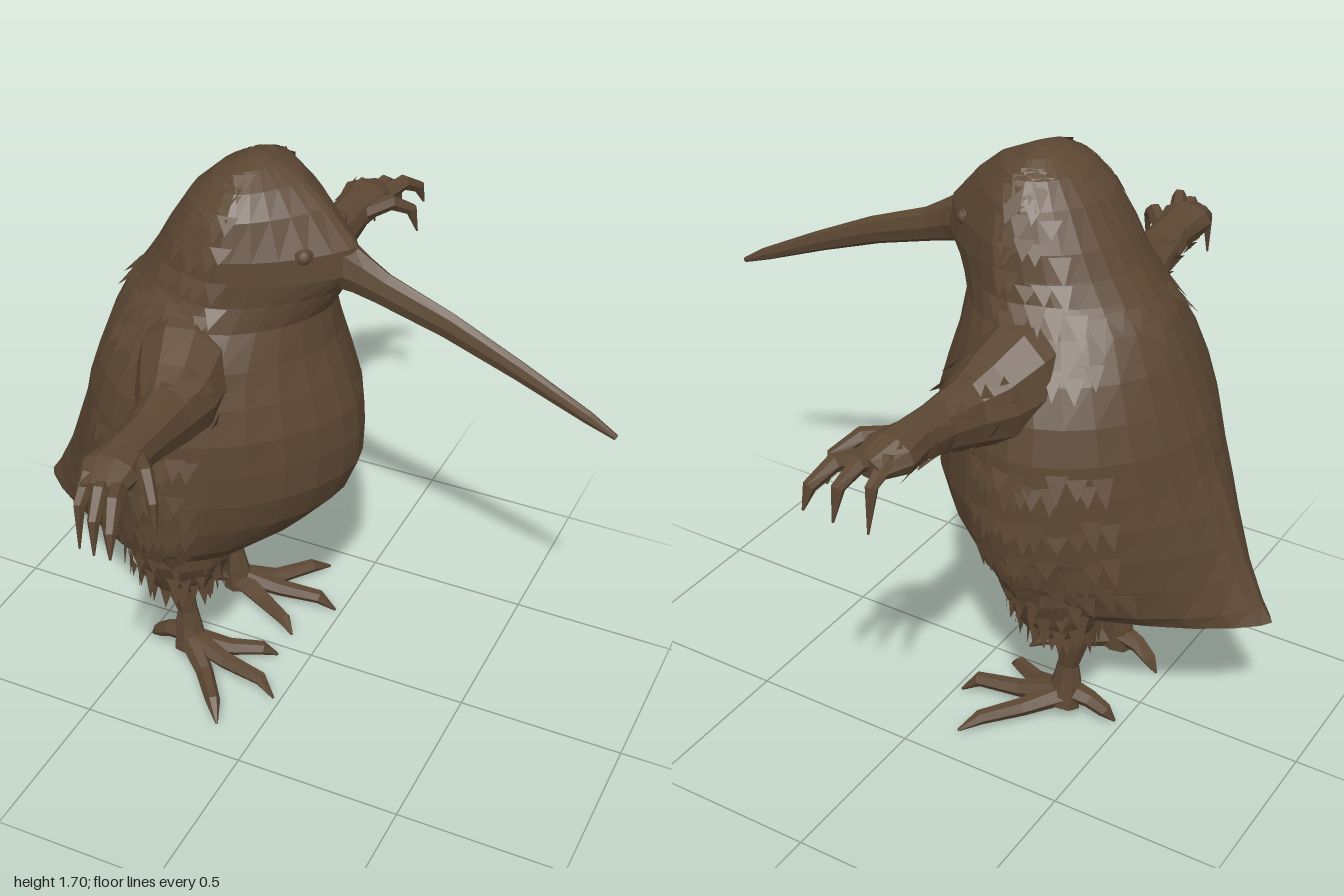
import * as THREE from 'three';

const V = (x, y, z) => new THREE.Vector3(x, y, z);
const brown = new THREE.MeshStandardMaterial({ color: 0x5c4733, side: THREE.DoubleSide });
brown.name = 'brown plumage';

let seed = 7;
const rand = () => (seed = (seed * 16807) % 2147483647) / 2147483647;

// Faceted mesh from a list of triangle corners
function facetMesh(name, corners) {
  const g = new THREE.BufferGeometry().setFromPoints(corners);
  g.computeVertexNormals();
  const m = new THREE.Mesh(g, brown);
  m.name = name;
  return m;
}

// Skin over a stack of rings, closed at both ends
function loft(name, rings) {
  const out = [], n = rings[0].length;
  const middle = r => r.reduce((a, p) => a.add(p), V(0, 0, 0)).divideScalar(n);
  const first = rings[0], last = rings[rings.length - 1];
  const c0 = middle(first), c1 = middle(last);
  for (let j = 0; j < n; j++) {
    const k = (j + 1) % n;
    for (let i = 0; i + 1 < rings.length; i++) {
      const a = rings[i][j], b = rings[i][k], c = rings[i + 1][k], d = rings[i + 1][j];
      out.push(a, d, b, b, d, c);
    }
    out.push(c0, first[j], first[k], c1, last[k], last[j]);
  }
  return facetMesh(name, out);
}

// Tapered limb; each station is [x, y, z, side radius, up radius]
function limb(name, stations, up = V(0, 1, 0), sides = 8) {
  const pts = stations.map(s => V(s[0], s[1], s[2]));
  return loft(name, stations.map((s, i) => {
    const w = pts[Math.min(i + 1, pts.length - 1)].clone().sub(pts[Math.max(i - 1, 0)]).normalize();
    const u = w.clone().cross(up).normalize(), v = u.clone().cross(w);
    return Array.from({ length: sides }, (_, j) => {
      const a = j / sides * Math.PI * 2;
      return pts[i].clone().addScaledVector(u, Math.cos(a) * s[3]).addScaledVector(v, Math.sin(a) * s[4]);
    });
  }));
}

// Body levels: y, back x, front x, half width, x of the widest point
const LEVELS = [
  [0.43, -0.38, -0.26, 0.06, -0.31], [0.445, -0.52, -0.20, 0.21, -0.32],
  [0.457, -0.89, -0.16, 0.28, -0.32], [0.50, -0.86, -0.11, 0.335, -0.32],
  [0.60, -0.81, 0.015, 0.395, -0.30], [0.70, -0.77, 0.105, 0.42, -0.30],
  [0.80, -0.73, 0.145, 0.43, -0.30], [0.90, -0.69, 0.15, 0.425, -0.30],
  [1.00, -0.66, 0.14, 0.415, -0.29], [1.10, -0.62, 0.11, 0.39, -0.28],
  [1.20, -0.58, 0.075, 0.35, -0.25], [1.30, -0.53, 0.06, 0.285, -0.22],
  [1.37, -0.48, 0.10, 0.255, -0.19], [1.43, -0.44, 0.15, 0.245, -0.17],
  [1.50, -0.40, 0.135, 0.235, -0.16], [1.60, -0.335, 0.05, 0.20, -0.15],
  [1.66, -0.27, -0.02, 0.15, -0.15], [1.695, -0.21, -0.095, 0.085, -0.15],
  [1.708, -0.17, -0.13, 0.025, -0.15],
];

// Point on the body: pointed towards the tail, rounded chest, narrow face
function bodyPoint(y, a) {
  let i = 0;
  while (i < LEVELS.length - 2 && LEVELS[i + 1][0] < y) i++;
  const A = LEVELS[i], B = LEVELS[i + 1], t = (y - A[0]) / (B[0] - A[0]);
  const [, xb, xf, w, xw] = A.map((n, k) => n + (B[k] - n) * t);
  const c = Math.cos(a), s = Math.sin(a);
  const back = THREE.MathUtils.lerp(1.36, 2, THREE.MathUtils.smoothstep(y, 0.45, 1.4));
  const front = THREE.MathUtils.lerp(1.65, 1.3, THREE.MathUtils.smoothstep(y, 1.3, 1.45));
  const e = 2 / (c < 0 ? back : front);
  return V(xw + (c < 0 ? xb - xw : xf - xw) * Math.abs(c) ** e, y, Math.sign(s) * w * Math.abs(s) ** e);
}

// Thin feather lying from a base point to its tip
function feather(out, base, along, tip) {
  out.push(base.clone().sub(along), tip, base.clone().add(along));
}

// Row of ragged feathers over the body between two angles
function featherRow(out, y, from, to, count, side, length = 0.07) {
  for (let i = 0; i < count; i++) {
    const a = side * (from + (to - from) * (i + rand() * 0.6) / count);
    const yy = y + (rand() - 0.5) * 0.05;
    const base = bodyPoint(yy, a), low = bodyPoint(yy - length * (0.6 + rand() * 0.6), a);
    const outward = V(base.x + 0.28, 0, base.z).setLength(0.01 + rand() * 0.012);
    const along = bodyPoint(yy, a + 0.05).sub(bodyPoint(yy, a - 0.05)).setLength(0.03);
    feather(out, base, along, low.add(outward));
  }
}

export function createModel() {
  const model = new THREE.Group();
  model.name = 'longBilledBird';

  // Body and head in one skin
  const N = 28;
  model.add(loft('body', LEVELS.map(l =>
    Array.from({ length: N }, (_, j) => bodyPoint(l[0], j / N * Math.PI * 2)))));

  // Long drooping bill, its root sunk in the face
  model.add(limb('bill', [
    [0.0, 1.46, 0, 0.07, 0.06], [0.10, 1.435, 0, 0.058, 0.072], [0.15, 1.415, 0, 0.042, 0.06],
    [0.21, 1.39, 0, 0.033, 0.05], [0.40, 1.325, 0, 0.025, 0.041], [0.60, 1.24, 0, 0.02, 0.03],
    [0.80, 1.148, 0, 0.015, 0.019], [0.88, 1.108, 0, 0.008, 0.008],
  ]));

  for (const s of [1, -1]) {
    const side = new THREE.Group();
    side.name = s > 0 ? 'nearSide' : 'farSide';
    model.add(side);

    // Eye with a raised lid
    const eye = new THREE.Mesh(new THREE.IcosahedronGeometry(0.022, 1), brown);
    eye.name = 'eye';
    eye.position.set(0.03, 1.5, 0.112 * s);
    const lid = new THREE.Mesh(new THREE.TorusGeometry(0.022, 0.006, 5, 10), brown);
    lid.name = 'eyelid';
    lid.position.set(0.032, 1.5, 0.115 * s);
    lid.rotation.y = s > 0 ? 0.65 : Math.PI - 0.65;
    side.add(eye, lid);

    // Arm with a broad shoulder rooted inside the body
    side.add(limb('arm', [
      [-0.27, 1.18, 0.12 * s, 0.13, 0.19], [-0.24, 1.175, 0.29 * s, 0.135, 0.155],
      [-0.215, 1.15, 0.39 * s, 0.112, 0.128], [-0.20, 1.15, 0.48 * s, 0.078, 0.098],
      [-0.19, 1.165, 0.59 * s, 0.06, 0.074], [-0.188, 1.18, 0.70 * s, 0.058, 0.062],
      [-0.185, 1.19, 0.79 * s, 0.08, 0.053], [-0.17, 1.185, 0.865 * s, 0.055, 0.03],
    ], V(0, 1, 0), 10));

    // Clawed fingers: knuckle x, z, then tip x, y, z
    const fingers = [[-0.22, 0.76, -0.205, 1.035, 0.915], [-0.18, 0.80, -0.135, 1.07, 0.96],
      [-0.14, 0.82, -0.07, 1.10, 0.99], [-0.15, 0.70, -0.03, 1.08, 0.84]];
    for (const [kx, kz, tx, ty, tz] of fingers) {
      const at = t => [kx + (tx - kx) * t, (kz + (tz - kz) * t) * s];
      const [ax, az] = at(0.5), [bx, bz] = at(0.88);
      side.add(limb('finger', [
        [kx, 1.185, kz * s, 0.026, 0.026], [ax, 1.2, az, 0.023, 0.025],
        [bx, 1.16, bz, 0.016, 0.02], [tx, ty, tz * s, 0.003, 0.003],
      ], V(0, 1, 0), 6));
    }

    // Feathered thigh, tucked into the flank
    side.add(limb('thigh', [
      [-0.31, 0.74, 0.21 * s, 0.10, 0.10], [-0.315, 0.62, 0.21 * s, 0.155, 0.165],
      [-0.325, 0.53, 0.205 * s, 0.16, 0.165], [-0.335, 0.46, 0.20 * s, 0.135, 0.145],
      [-0.34, 0.40, 0.19 * s, 0.11, 0.115], [-0.35, 0.345, 0.178 * s, 0.06, 0.07],
    ], V(1, 0, 0), 12));

    // Shin and ankle
    side.add(limb('shin', [
      [-0.365, 0.40, 0.175 * s, 0.036, 0.055], [-0.363, 0.31, 0.167 * s, 0.034, 0.05],
      [-0.342, 0.20, 0.157 * s, 0.028, 0.032], [-0.34, 0.14, 0.158 * s, 0.036, 0.045],
      [-0.33, 0.06, 0.165 * s, 0.045, 0.055],
    ], V(1, 0, 0)));

    // Three front toes and one hind toe
    const toes = [
      [[-0.33, 0.1, 0.165], [-0.2, 0.068, 0.19], [-0.07, 0.06, 0.21], [-0.02, 0.012, 0.225]],
      [[-0.33, 0.09, 0.17], [-0.24, 0.055, 0.25], [-0.16, 0.052, 0.35], [-0.12, 0.025, 0.405]],
      [[-0.33, 0.09, 0.16], [-0.22, 0.06, 0.12], [-0.13, 0.052, 0.075], [-0.09, 0.02, 0.05]],
      [[-0.33, 0.11, 0.16], [-0.41, 0.09, 0.15], [-0.455, 0.06, 0.14], [-0.485, 0.025, 0.13]],
    ];
    const thick = [0.036, 0.027, 0.022, 0.004];
    for (const toe of toes)
      side.add(limb('toe', toe.map(([x, y, z], i) => [x, y, z * s, thick[i], thick[i]]), V(0, 1, 0), 6));

    // Ragged plumage on head, nape, shoulder and flank
    const plumes = [];
    for (const y of [1.67, 1.6, 1.52, 1.44]) featherRow(plumes, y, 1.45, 2.3, 5, s, 0.06);
    featherRow(plumes, 1.35, 1.3, 3.0, 10, s);
    featherRow(plumes, 1.24, 1.2, 2.4, 8, s);
    for (const y of [0.96, 0.82, 0.7, 0.6]) featherRow(plumes, y, 1.2, 2.3, 13, s, 0.08);

    // Ragged fringe around the thigh: y, x radius, z radius, centre z
    const fringe = [[0.54, 0.16, 0.155, 0.205], [0.48, 0.15, 0.14, 0.20],
      [0.43, 0.125, 0.12, 0.195], [0.385, 0.1, 0.095, 0.187]];
    for (const [y, rx, rz, cz] of fringe)
      for (let i = 0; i < 16; i++) {
        const a = (i + rand()) / 16 * Math.PI * 2, c = Math.cos(a), d = Math.sin(a);
        const base = V(-0.335 + c * rx, y + (rand() - 0.5) * 0.03, cz * s + d * rz);
        feather(plumes, base, V(-d, 0, c).multiplyScalar(0.022),
          base.clone().add(V(c * 0.006, -0.05 - rand() * 0.04, d * 0.006)));
      }

    // Tufts sweeping outward along the arm
    for (let k = 0; k < 6; k++)
      for (let i = 0; i < 7; i++) {
        const z = 0.38 + k * 0.075, r = Math.max(0.058, 0.118 - k * 0.026);
        const a = (i + rand()) / 7 * Math.PI * 2, c = Math.cos(a), d = Math.sin(a);
        const base = V(-0.205 + k * 0.003 + c * r, 1.152 + k * 0.006 + d * r, z * s);
        feather(plumes, base, V(-d, c, 0).multiplyScalar(0.022),
          base.clone().add(V(c * 0.006, d * 0.006, (0.045 + rand() * 0.025) * s)));
      }
    side.add(facetMesh('feathers', plumes));
  }
  return model;
}
